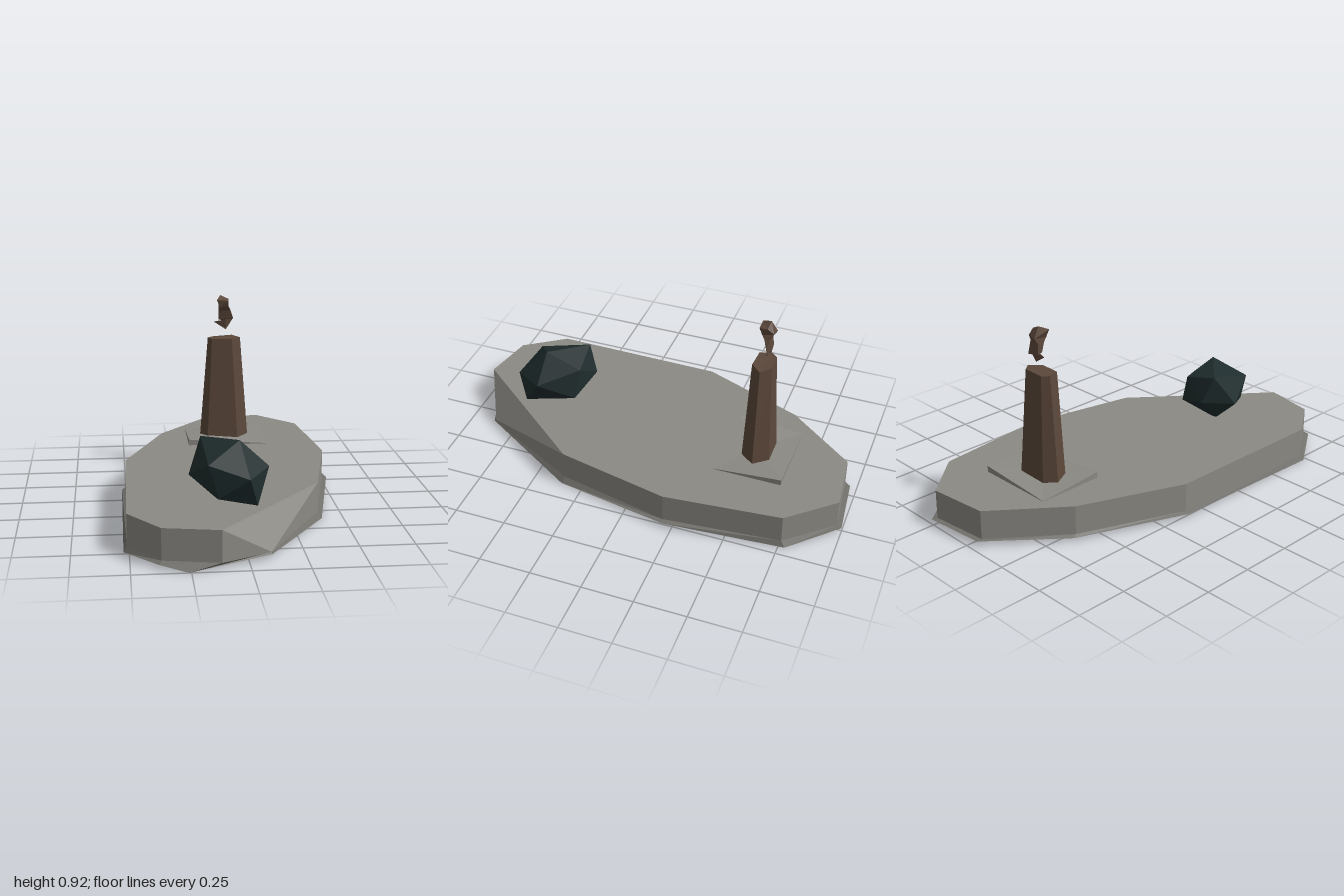
import * as THREE from 'three';
import { ConvexGeometry } from 'three/addons/geometries/ConvexGeometry.js';

const paint = (name, color, extra = {}) => {
  const m = new THREE.MeshStandardMaterial({ color, flatShading: true, ...extra });
  m.name = name;
  return m;
};

// Skins stacked rings of [x, y, z], lowest first, with optional fan caps.
function loft(rings, capBottom = true, capTop = true) {
  const pos = [];
  const tri = (a, b, c) => pos.push(...a, ...b, ...c);
  const n = rings[0].length;
  const middle = (r) => [0, 1, 2].map((k) => r.reduce((s, p) => s + p[k], 0) / n);
  const first = rings[0], last = rings[rings.length - 1];
  for (let i = 0; i < n; i++) {
    const j = (i + 1) % n;
    for (let r = 0; r + 1 < rings.length; r++) {
      const a = rings[r], b = rings[r + 1];
      tri(a[i], b[i], a[j]);
      tri(b[i], b[j], a[j]);
    }
    if (capBottom) tri(middle(first), first[i], first[j]);
    if (capTop) tri(middle(last), last[j], last[i]);
  }
  const g = new THREE.BufferGeometry();
  g.setAttribute('position', new THREE.Float32BufferAttribute(pos, 3));
  g.computeVertexNormals();
  return g;
}

const level = (pts, y) => pts.map(([x, z]) => [x, y, z]);

export function createModel() {
  const stone = paint('stone grey', 0x8c8a84);
  const footing = paint('dark stone grey', 0x72706b);
  const bark = paint('bark brown', 0x5c483b, { side: THREE.DoubleSide });
  const boulderColor = paint('dark teal', 0x1f2c2d);

  const group = new THREE.Group();
  const add = (name, geometry, material) => {
    const mesh = new THREE.Mesh(geometry, material);
    mesh.name = name;
    group.add(mesh);
    return mesh;
  };

  // Long irregular slab; one upper front corner is broken off
  const wall = [[-0.04, -0.945], [0.25, -0.975], [0.44, -0.76], [0.495, -0.2], [0.38, 0.35],
    [0.1, 0.86], [-0.12, 0.97], [-0.37, 0.92], [-0.51, 0.72], [-0.5, -0.11], [-0.3, -0.615]];
  const topEdge = wall.map((p, i) => (i === 5 ? wall[6] : p));
  add('slab', loft([level(wall, 0.027), level(topEdge, 0.17)], false, true), stone);

  // Thin ragged lip under the slab
  const lip = [[-0.04, 0.025, -0.97], [0.26, 0.025, -1], [0.45, 0, -0.78], [0.52, 0.025, -0.21],
    [0.4, 0, 0.36], [0.1, 0.02, 0.87], [-0.26, 0, 1], [-0.38, 0.02, 0.95],
    [-0.525, 0, 0.73], [-0.52, 0.02, -0.11], [-0.305, 0.015, -0.63]];
  add('slabFooting', loft([lip, level(wall, 0.028)], true, false), footing);

  // Low plinth, folded along a diagonal ridge
  const square = [[-0.17, -0.69], [0.23, -0.69], [0.23, -0.36], [-0.17, -0.36]];
  const ridge = square.map(([x, z], i) => [x, i % 2 ? 0.2 : 0.172, z]);
  add('plinth', loft([level(square, 0.165), ridge]), stone);

  // Tapered six-sided post
  const postFoot = [[-0.05, -0.59], [0.1, -0.595], [0.15, -0.525], [0.09, -0.455], [-0.065, -0.465], [-0.1, -0.54]];
  const postHead = [[-0.03, -0.565], [0.07, -0.57], [0.11, -0.525], [0.063, -0.475], [-0.04, -0.48], [-0.057, -0.535]];
  const head = level(postHead, 0.7);
  head[1][1] = 0.706;
  add('post', loft([level(postFoot, 0.172), head]), bark);

  // Broken splinter floating above the post
  add('splinter', loft([
    [[0, 0.79, -0.555], [0.06, 0.78, -0.56], [0.075, 0.8, -0.54], [0, 0.795, -0.53]],
    [[0, 0.835, -0.55], [0.052, 0.85, -0.55], [0.06, 0.845, -0.525], [0.002, 0.84, -0.515]],
    [[0.002, 0.87, -0.57], [0.046, 0.875, -0.565], [0.05, 0.865, -0.51], [0.004, 0.86, -0.5]],
    [[0.008, 0.92, -0.54], [0.052, 0.9, -0.535], [0.045, 0.895, -0.495], [-0.012, 0.9, -0.495]],
  ]), bark);
  add('splinterTip', loft([
    [[0.035, 0.742, -0.537], [0.037, 0.742, -0.535], [0.034, 0.742, -0.533]],
    [[-0.026, 0.782, -0.539], [0.075, 0.798, -0.542], [0.035, 0.793, -0.53]],
  ]), bark);

  // Twelve-cornered boulder, each corner paired with its opposite
  const half = [[0.077, 0.005, 0.18], [0.175, 0.025, 0.035], [0.045, 0.145, 0.035],
    [-0.115, 0.125, -0.13], [-0.1, 0.06, 0.13], [0.055, 0.085, -0.145]];
  const corners = half.flatMap((p) => [new THREE.Vector3(...p), new THREE.Vector3(...p).negate()]);
  add('boulder', new ConvexGeometry(corners), boulderColor).position.set(-0.055, 0.305, 0.563);

  return group;
}
